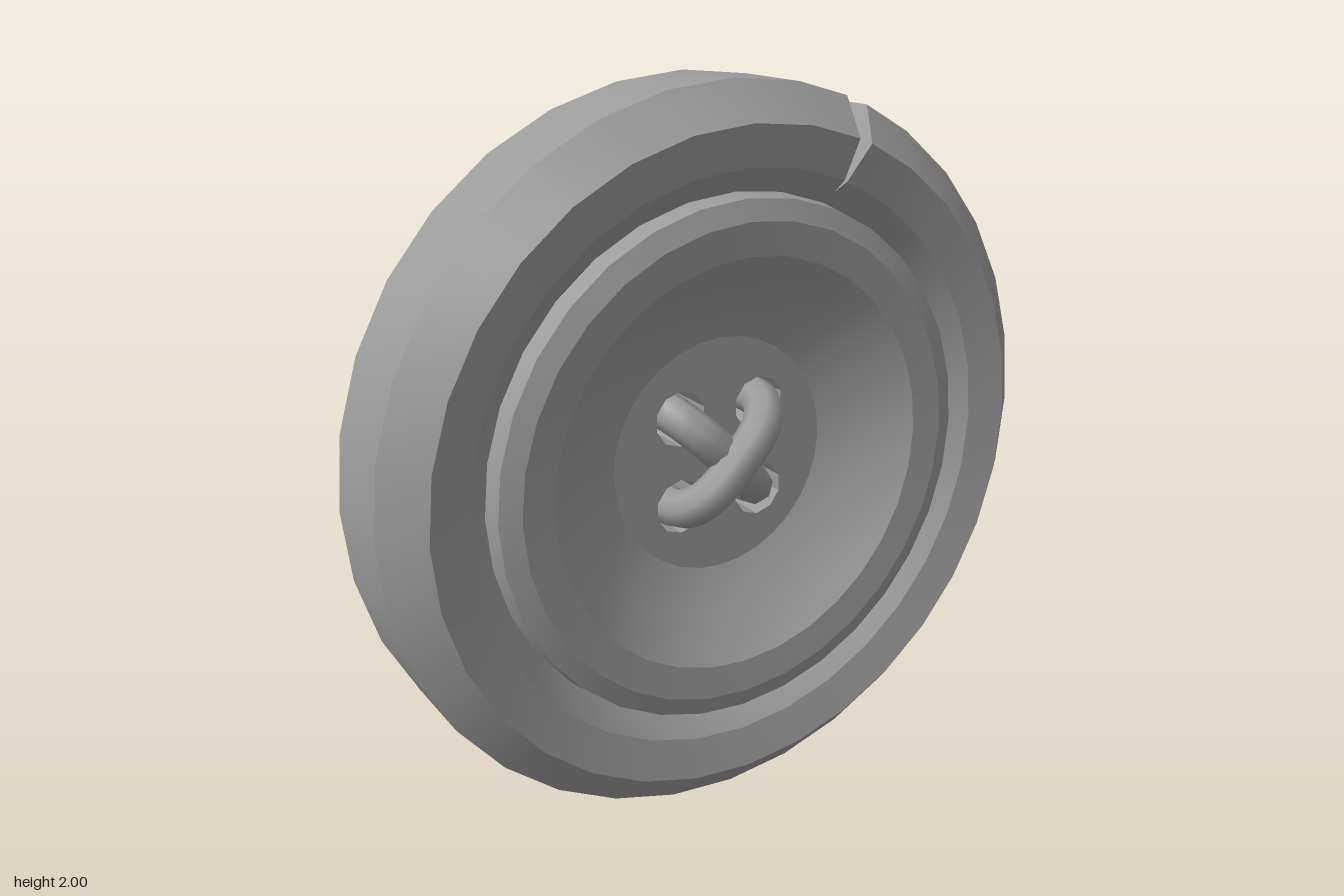
import * as THREE from 'three';
import { toCreasedNormals } from 'three/addons/utils/BufferGeometryUtils.js';

const SIDES = 32;
const CRACK = Math.PI / 8;          // clockwise from the top
const CRACK_TIP = 0.757;            // radius where the crack closes
const FLOOR_R = 0.33, FLOOR_FRONT = 0.06, FLOOR_BACK = -0.145;

// [radius, z] from the back floor, round the rim, to the front floor
const PROFILE = [
  [FLOOR_R, FLOOR_BACK], [0.38, FLOOR_BACK], [0.5, -0.158], [0.63, -0.178], [CRACK_TIP, -0.193], [0.9, -0.201],
  [1, -0.12], [1, 0.12], [0.9, 0.211], [0.79, 0.186], [CRACK_TIP, 0.157], [0.723, 0.125],
  [0.715, 0.183], [0.66, 0.203], [0.57, 0.195], [0.45, 0.105], [FLOOR_R, FLOOR_FRONT],
];

// half the opening angle of the crack at a radius
const crackAngle = (r) => Math.max(0, r - CRACK_TIP) / (1 - CRACK_TIP) * 0.036 / r;

// position on the rim at an angle clockwise from the top
const polar = (r, a) => [r * Math.sin(a), r * Math.cos(a)];

// counter-clockwise polygon
function circlePoints(x, y, r, n) {
  return Array.from({ length: n }, (_, i) => {
    const [dx, dy] = polar(r, -i / n * Math.PI * 2);
    return new THREE.Vector2(x + dx, y + dy);
  });
}

// lathed body whose seam is pulled open into a crack
function bodyGeometry() {
  const points = PROFILE.map(([r, z]) => new THREE.Vector2(r, z));
  const geo = new THREE.LatheGeometry(points, SIDES, Math.PI - CRACK);
  geo.rotateX(Math.PI / 2);
  const pos = geo.attributes.position;
  PROFILE.forEach(([r], j) => {
    const d = crackAngle(r);
    const last = SIDES * PROFILE.length + j;
    pos.setXY(j, ...polar(r, CRACK - d));
    pos.setXY(last, ...polar(r, CRACK + d));
  });
  return toCreasedNormals(geo, 0.3);
}

// one broken face of the crack: the rim section turned to its angle
function crackWallGeometry(side) {
  const section = PROFILE.filter(([r]) => r >= CRACK_TIP).map(([r, z]) => new THREE.Vector2(r, z));
  const geo = new THREE.ShapeGeometry(new THREE.Shape(section));
  const pos = geo.attributes.position;
  for (let i = 0; i < pos.count; i++) {
    const r = pos.getX(i), z = pos.getY(i);
    pos.setXYZ(i, ...polar(r, CRACK + side * crackAngle(r)), z);
  }
  geo.computeVertexNormals();
  return geo;
}

// centre plate with four sewing holes
function floorGeometry() {
  const shape = new THREE.Shape(circlePoints(0, 0, FLOOR_R, SIDES));
  for (const x of [-0.125, 0.125])
    for (const y of [-0.125, 0.125])
      shape.holes.push(new THREE.Path(circlePoints(x, y, 0.077, 10)));
  const geo = new THREE.ExtrudeGeometry(shape, { depth: FLOOR_FRONT - FLOOR_BACK, bevelEnabled: false });
  return geo.translate(0, 0, FLOOR_BACK);
}

// closed loop of thread through two opposite holes
function threadGeometry(front, back) {
  const path = [
    [-0.18, front - 0.07], [-0.12, front - 0.015], [0, front], [0.12, front - 0.015], [0.18, front - 0.07],
    [0.18, back + 0.05], [0.13, back + 0.002], [0, back], [-0.13, back + 0.002], [-0.18, back + 0.05],
  ].map(([d, z]) => new THREE.Vector3(d, 0, z));
  const curve = new THREE.CatmullRomCurve3(path, true, 'centripetal');
  return new THREE.TubeGeometry(curve, 40, 0.054, 8, true);
}

export function createModel() {
  const group = new THREE.Group();
  const color = 0x9b9b9b;
  const material = new THREE.MeshStandardMaterial({ color });
  const thin = new THREE.MeshStandardMaterial({ color, side: THREE.DoubleSide });
  const add = (name, geo, mat = material) => {
    const mesh = new THREE.Mesh(geo, mat);
    mesh.name = name;
    mesh.position.y = 1;
    group.add(mesh);
    return mesh;
  };

  add('buttonBody', bodyGeometry());
  add('crackWallLeft', crackWallGeometry(1), thin);
  add('crackWallRight', crackWallGeometry(-1), thin);
  add('holedCentre', floorGeometry());

  // crossed threads: one lies on top in front, the other at the back
  add('threadRising', threadGeometry(0.145, -0.125)).rotation.z = Math.PI / 4;
  add('threadFalling', threadGeometry(0.1, -0.154)).rotation.z = -Math.PI / 4;

  return group;
}
